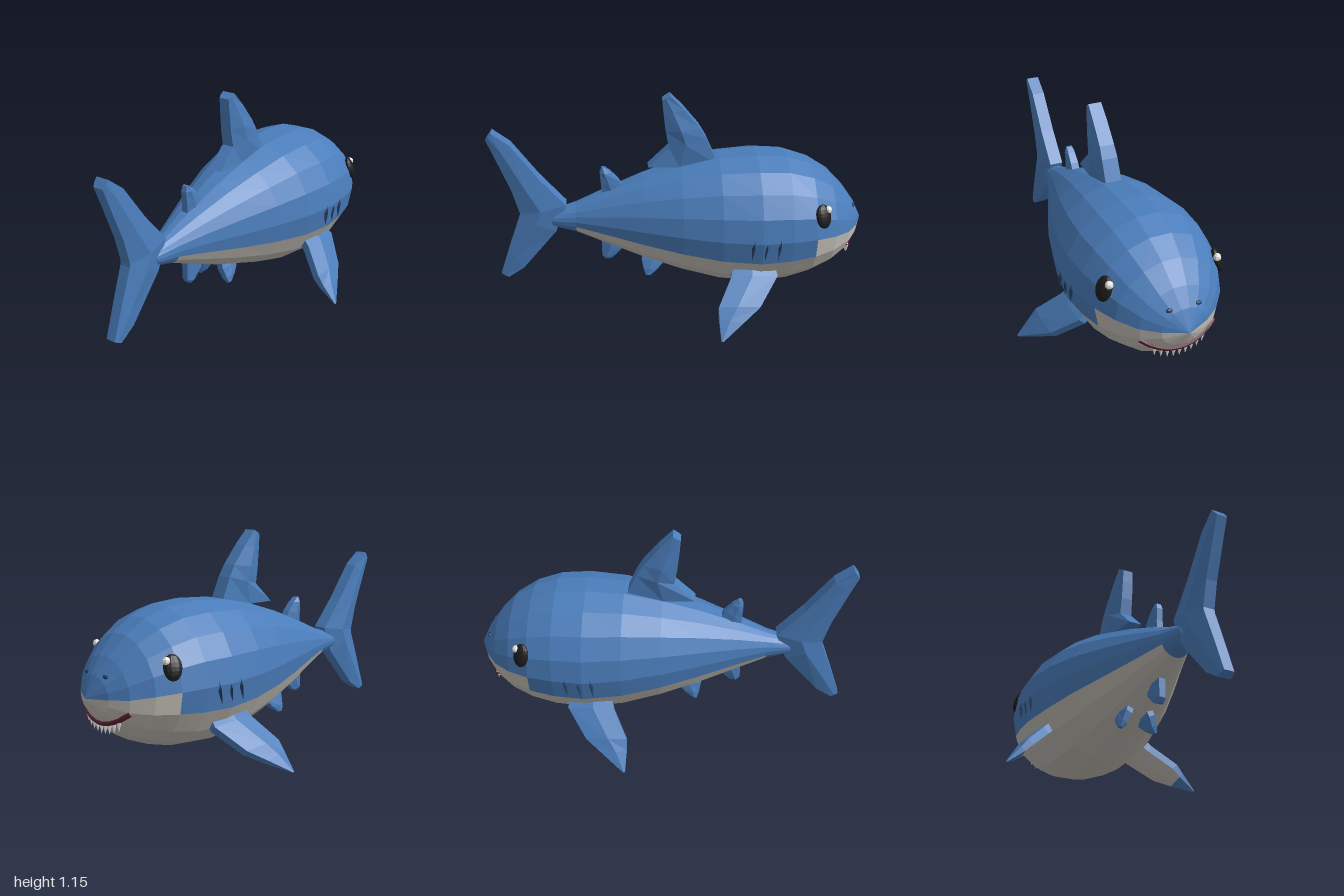
import * as THREE from 'three';

const mat = (name, color, side = THREE.FrontSide) => {
  const m = new THREE.MeshStandardMaterial({ color, flatShading: true, side });
  m.name = name;
  return m;
};
const V = (x, y, z = 0) => new THREE.Vector3(x, y, z);

// Body stations: x, top y, bottom y, half width
const STATIONS = [
  [-0.69, 0.52, 0.43, 0.05], [-0.56, 0.56, 0.395, 0.08], [-0.4, 0.63, 0.325, 0.14],
  [-0.2, 0.71, 0.24, 0.22], [0, 0.775, 0.17, 0.295], [0.2, 0.82, 0.115, 0.35],
  [0.4, 0.832, 0.094, 0.378], [0.56, 0.82, 0.105, 0.367], [0.69, 0.775, 0.14, 0.338],
  [0.8, 0.705, 0.185, 0.282], [0.89, 0.61, 0.25, 0.205], [0.95, 0.525, 0.325, 0.12],
  [1, 0.421, 0.419, 0.001],
];
const SIDES = 18;

// Joins rings of points into a closed skin; slot(section, side) picks the material
function loft(rings, materials, slot = () => 0) {
  const tris = materials.map(() => []);
  let volume = 0;
  const add = (k, a, b, c) => {
    const area = b.clone().sub(a).cross(c.clone().sub(a)).length();
    if (area < 1e-9) return;
    volume += a.dot(b.clone().cross(c));
    tris[k].push([a, b, c]);
  };
  const n = rings[0].length;
  for (let s = 0; s < rings.length - 1; s++) {
    for (let i = 0; i < n; i++) {
      const j = (i + 1) % n, k = slot(s, i);
      add(k, rings[s][i], rings[s + 1][i], rings[s + 1][j]);
      add(k, rings[s][i], rings[s + 1][j], rings[s][j]);
    }
  }
  const first = rings[0], last = rings[rings.length - 1];
  for (let i = 1; i < n - 1; i++) {
    add(0, first[0], first[i], first[i + 1]);
    add(0, last[0], last[i + 1], last[i]);
  }
  const geo = new THREE.BufferGeometry(), pos = [];
  tris.forEach((list, k) => {
    geo.addGroup(pos.length / 3, list.length * 3, k);
    for (const [a, b, c] of list)
      for (const p of volume > 0 ? [a, b, c] : [a, c, b]) pos.push(p.x, p.y, p.z);
  });
  geo.setAttribute('position', new THREE.Float32BufferAttribute(pos, 3));
  geo.computeVertexNormals();
  return new THREE.Mesh(geo, materials);
}

// Six-sided fin section: leading edge, thick middle, trailing edge
function finRing(lead, trail, [a, b, c], normal, middle = 0.55) {
  const mid = lead.clone().lerp(trail, middle);
  const at = (p, t) => p.clone().addScaledVector(normal, t);
  return [at(lead, a), at(mid, b), at(trail, c), at(trail, -c), at(mid, -b), at(lead, -a)];
}

// Upright fin from rows of [leadX, leadY, trailX, trailY, edge, middle thickness]
const uprightFin = (rows, material) => loft(rows.map(([lx, ly, tx, ty, e, m]) =>
  finRing(V(lx, ly), V(tx, ty), [e, m, e * 0.8], V(0, 0, 1))), [material]);

// Foremost x of the body skin at a given y and z
function skinX(y, z) {
  for (let x = 1; x > 0.4; x -= 0.002) {
    const i = STATIONS.findIndex((s) => s[0] >= x - 1e-6);
    const p = STATIONS[i - 1], q = STATIONS[i], t = (x - p[0]) / (q[0] - p[0]);
    const [, top, bottom, w] = p.map((v, k) => v + (q[k] - v) * t);
    if (Math.hypot((y - (top + bottom) / 2) / ((top - bottom) / 2), z / w) <= 0.99) return x;
  }
  return 0.4;
}

export function createModel() {
  const model = new THREE.Group();
  const blue = mat('skin blue', 0x4a7dbb);
  const pale = mat('belly grey', 0xc6c1b9);
  const navy = mat('slit navy', 0x243f63);
  const red = mat('mouth red', 0x5c2032, THREE.DoubleSide);
  const black = mat('eye black', 0x1c1c1c);
  const white = mat('white', 0xe8e6e2);
  const put = (name, mesh) => {
    mesh.name = name;
    model.add(mesh);
    return mesh;
  };

  // Body, with the pale belly rising higher around the head
  const rings = STATIONS.map(([x, top, bottom, w]) => Array.from({ length: SIDES }, (_, i) => {
    const a = ((i + 0.5) / SIDES) * Math.PI * 2;
    return V(x, (top + bottom) / 2 + Math.cos(a) * (top - bottom) / 2, Math.sin(a) * w);
  }));
  put('body', loft(rings, [blue, pale], (s, i) => {
    const rise = s >= 8 ? 4 : 5;
    return s > 0 && i >= rise && i <= 16 - rise ? 1 : 0;
  }));

  // Upright fins
  put('dorsalFin', uprightFin([
    [0.2, 0.77, -0.17, 0.765, 0.045, 0.05], [0.135, 0.92, -0.06, 0.87, 0.043, 0.06],
    [0.1, 0.98, -0.075, 0.96, 0.04, 0.062], [0.02, 1.08, -0.085, 1.06, 0.038, 0.047],
    [-0.05, 1.155, -0.09, 1.13, 0.036, 0.036]], blue));
  put('tailFin', uprightFin([
    [-0.97, 0.98, -1, 0.94, 0.035, 0.035], [-0.88, 0.91, -0.965, 0.85, 0.035, 0.042],
    [-0.745, 0.72, -0.89, 0.65, 0.037, 0.052], [-0.61, 0.56, -0.857, 0.52, 0.038, 0.062],
    [-0.67, 0.41, -0.86, 0.5, 0.038, 0.062], [-0.86, 0.19, -0.925, 0.325, 0.035, 0.045],
    [-0.945, 0.135, -0.985, 0.155, 0.033, 0.033]], blue));
  put('rearDorsalFin', uprightFin([
    [-0.3, 0.64, -0.42, 0.61, 0.022, 0.033], [-0.33, 0.69, -0.42, 0.66, 0.022, 0.033],
    [-0.37, 0.735, -0.425, 0.73, 0.02, 0.03], [-0.4, 0.76, -0.415, 0.76, 0.015, 0.018]], blue));
  put('analFin', uprightFin([
    [-0.31, 0.33, -0.43, 0.36, 0.022, 0.033], [-0.325, 0.275, -0.43, 0.31, 0.022, 0.033],
    [-0.375, 0.225, -0.43, 0.24, 0.02, 0.03], [-0.4, 0.215, -0.415, 0.218, 0.015, 0.018]], blue));

  for (const s of [1, -1]) {
    const side = s > 0 ? 'right' : 'left';

    // Pectoral fin, pale underneath with a blue tip
    const up = V(0, 0.69, 0.72 * s);
    const pectoral = [
      [[0.48, 0.275, 0.27], [0.26, 0.285, 0.265], [0.022, 0.035, 0.022]],
      [[0.49, 0.235, 0.315], [0.245, 0.24, 0.315], [0.022, 0.035, 0.022]],
      [[0.385, 0.12, 0.43], [0.168, 0.13, 0.43], [0.02, 0.034, 0.02]],
      [[0.29, 0.065, 0.487], [0.166, 0.085, 0.47], [0.015, 0.025, 0.015]],
      [[0.18, 0.004, 0.555], [0.17, 0.006, 0.553], [0.002, 0.003, 0.002]],
    ].map(([l, t, th]) => finRing(V(l[0], l[1], l[2] * s), V(t[0], t[1], t[2] * s), th, up));
    put(side + 'PectoralFin', loft(pectoral, [blue, pale],
      (k, i) => (k < 3 && (i === 3 || i === 4) ? 1 : 0)));

    // Small pelvic fin
    const out = V(0, 0.45, 0.89 * s);
    const pelvic = [
      [-0.08, 0.25, -0.21, 0.27, 0.05, 0.03], [-0.085, 0.225, -0.215, 0.23, 0.065, 0.03],
      [-0.13, 0.18, -0.205, 0.18, 0.085, 0.025], [-0.17, 0.15, -0.195, 0.15, 0.1, 0.012],
    ].map(([lx, ly, tx, ty, z, m]) =>
      finRing(V(lx, ly, z * s), V(tx, ty, z * s), [m * 0.6, m, m * 0.6], out));
    put(side + 'PelvicFin', loft(pelvic, [blue]));

    // Eye with a highlight
    const eye = put(side + 'Eye', new THREE.Mesh(new THREE.SphereGeometry(1, 14, 10), black));
    eye.position.set(0.718, 0.575, 0.302 * s);
    eye.lookAt(0.718 + 0.42, 0.575 + 0.32, (0.302 + 0.84) * s);
    eye.scale.set(0.045, 0.064, 0.024);
    const glint = put(side + 'EyeGlint', new THREE.Mesh(new THREE.SphereGeometry(0.021, 8, 6), white));
    glint.position.set(0.742, 0.605, 0.287 * s);

    // Gill slits
    for (const x of [0.352, 0.42, 0.488]) {
      const gill = put(side + 'Gill', new THREE.Mesh(new THREE.OctahedronGeometry(1), navy));
      gill.position.set(x, 0.44, 0.366 * s);
      gill.scale.set(0.01, 0.073, 0.016);
      gill.rotation.set(-0.1 * s, 0, -0.13);
    }

    // Nostril
    const nostril = put(side + 'Nostril', new THREE.Mesh(new THREE.SphereGeometry(1, 8, 6), navy));
    nostril.position.set(skinX(0.525, 0.075), 0.525, 0.075 * s);
    nostril.scale.set(0.01, 0.011, 0.019);
  }

  // Smiling mouth laid along the snout
  const smileY = (z) => 0.29 + 0.078 * (z / 0.2) ** 2;
  const smile = [];
  for (let i = -6; i <= 6; i++) {
    const z = (i / 6) * 0.195;
    smile.push(V(skinX(smileY(z), z), smileY(z), z));
  }
  put('mouth', new THREE.Mesh(
    new THREE.TubeGeometry(new THREE.CatmullRomCurve3(smile), 24, 0.014, 6), red));

  // Teeth hanging below the mouth
  for (let i = -4; i <= 4; i++) {
    const z = i * 0.032, y = smileY(z) - 0.032;
    const tooth = put('tooth', new THREE.Mesh(new THREE.ConeGeometry(0.013, 0.05, 6), white));
    tooth.position.set(skinX(smileY(z), z) - 0.004, y, z);
    tooth.rotation.x = Math.PI;
  }
  return model;
}
